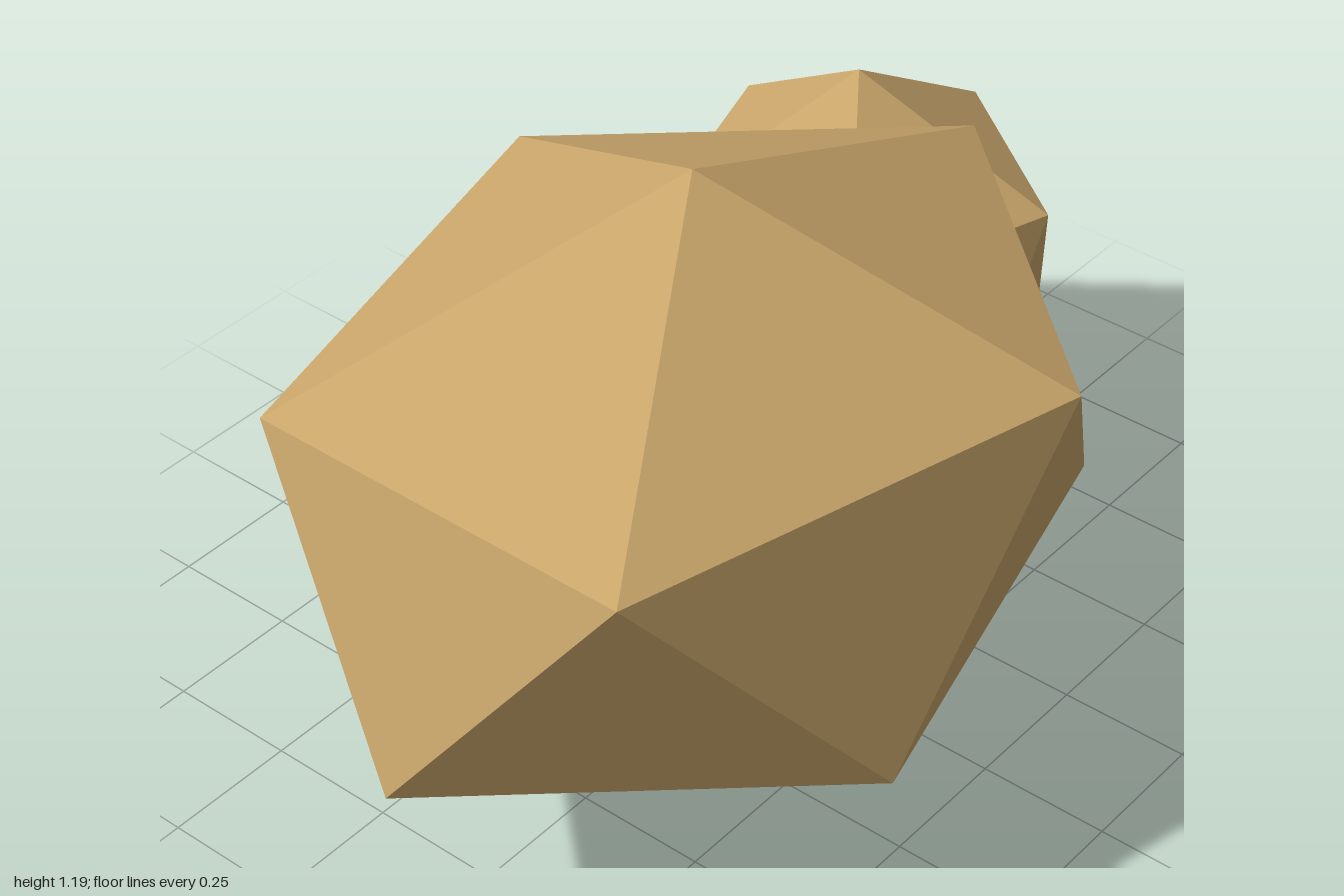
import * as THREE from 'three';

export function createModel() {
  const group = new THREE.Group();
  group.name = 'boulders';
  const sandstone = new THREE.MeshStandardMaterial({ color: 0xc9a66b });
  sandstone.name = 'sandstone';
  sandstone.flatShading = true;

  // Icosahedron standing on a corner, with one upper ring corner towards +x
  function addRock(name, radii, position) {
    const geometry = new THREE.IcosahedronGeometry(1, 0);
    geometry.rotateZ(-Math.atan(2 / (1 + Math.sqrt(5))));
    geometry.scale(...radii);
    const rock = new THREE.Mesh(geometry, sandstone);
    rock.name = name;
    rock.position.set(...position);
    group.add(rock);
  }

  addRock('largeRock', [0.866, 0.552, 0.636], [-0.225, 0.637, 0.033]);
  addRock('smallRock', [0.421, 0.421, 0.421], [0.623, 0.421, -0.282]);

  // Depth of the large rock: ring half-width 0.605 equals radius * 0.894 * sin(72 deg)
  const depth = 0.605 / ((2 / Math.sqrt(5)) * Math.sin(Math.PI * 0.4));
  group.getObjectByName('largeRock').geometry.scale(1, 1, depth / 0.636);
  return group;
}
